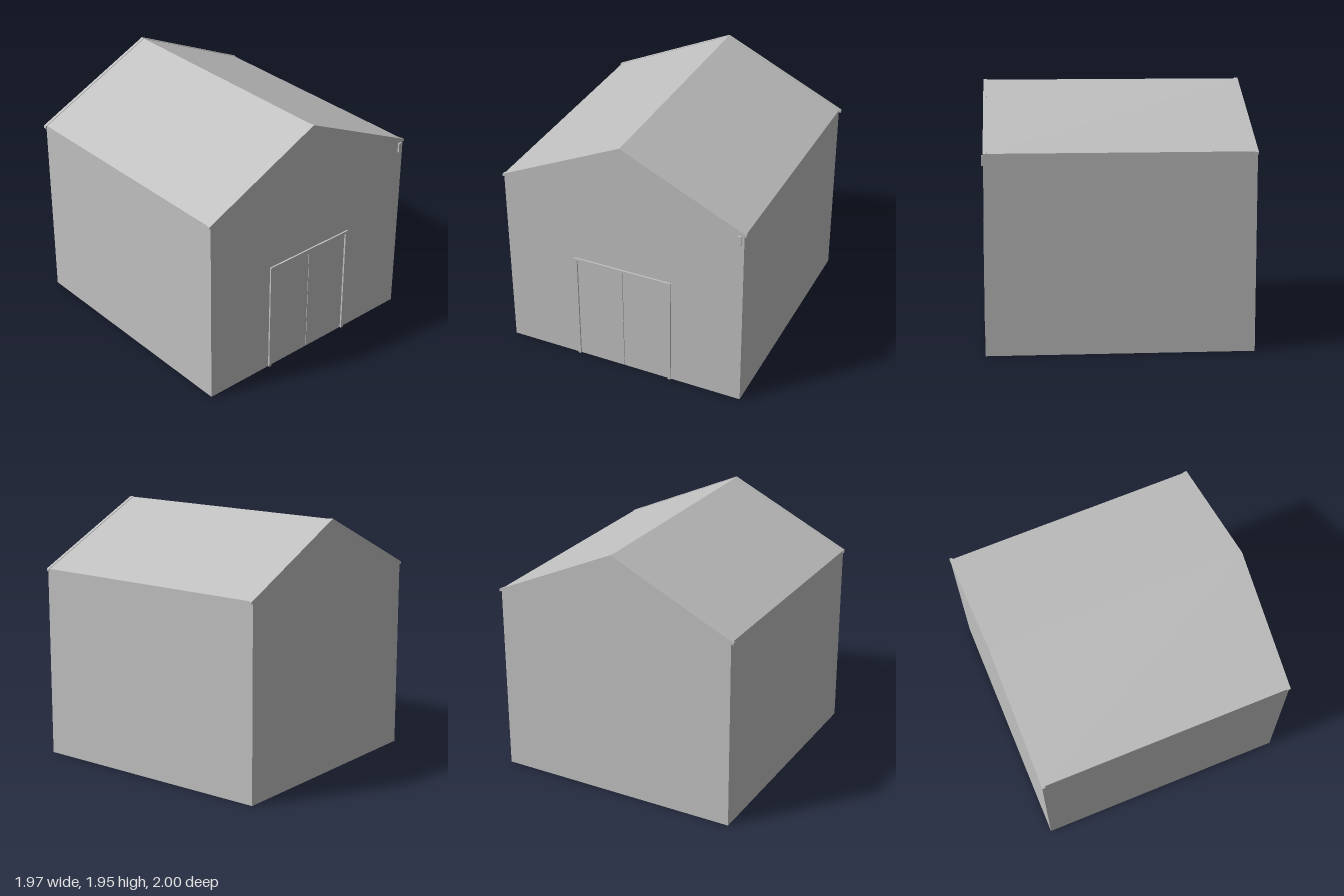
import * as THREE from 'three';

const HALF = 0.965;        // half width of the walls
const FRONT = 0.987, BACK = -0.997;
const RIDGE = 1.945, SLOPE = 0.469;
const WALL = 0.02;
const roofY = x => RIDGE - SLOPE * Math.abs(x);

export function createModel() {
  const model = new THREE.Group();
  model.name = 'barn';
  const grey = new THREE.MeshStandardMaterial({ color: 0xc0c0c0 });
  grey.name = 'plain grey';

  const add = (name, geometry) => {
    const mesh = new THREE.Mesh(geometry, grey);
    mesh.name = name;
    model.add(mesh);
    return mesh;
  };
  // box given by its limits on each axis
  const block = (name, x0, x1, y0, y1, z0, z1) => {
    const mesh = add(name, new THREE.BoxGeometry(x1 - x0, y1 - y0, z1 - z0));
    mesh.position.set((x0 + x1) / 2, (y0 + y1) / 2, (z0 + z1) / 2);
    return mesh;
  };
  // flat outline extruded from z0 to z1
  const extrude = (name, points, z0, z1) => {
    const shape = new THREE.Shape(points.map(([x, y]) => new THREE.Vector2(x, y)));
    const geometry = new THREE.ExtrudeGeometry(shape, { depth: z1 - z0, bevelEnabled: false });
    geometry.translate(0, 0, z0);
    return add(name, geometry);
  };
  // bent band following both roof slopes
  const roofBand = (name, half, lift, thick, z0, z1) => extrude(name, [
    [-half, roofY(half) + lift - thick], [0, RIDGE + lift - thick], [half, roofY(half) + lift - thick],
    [half, roofY(half) + lift], [0, RIDGE + lift], [-half, roofY(half) + lift],
  ], z0, z1);

  // gable walls, the front one with a doorway
  const eave = roofY(HALF) - 0.005;
  const top = [[HALF, eave], [0, RIDGE - 0.005], [-HALF, eave]];
  extrude('backWall', [[-HALF, 0], [HALF, 0], ...top], BACK, BACK + WALL);
  extrude('frontWall', [
    [-HALF, 0], [-0.38, 0], [-0.38, 0.885], [0.38, 0.885], [0.38, 0], [HALF, 0], ...top,
  ], FRONT - WALL, FRONT);

  // roof and the thin trims along its ends
  roofBand('roof', 0.972, 0, 0.02, BACK, FRONT);
  roofBand('backRakeTrim', 0.985, 0.004, 0.02, -1, -0.975);
  roofBand('frontRakeTrim', 0.978, 0.004, 0.02, 0.962, 0.989);

  for (const s of [-1, 1]) {
    const side = s > 0 ? 'left' : 'right';
    const span = (name, a, b, ...rest) => block(name, Math.min(s * a, s * b), Math.max(s * a, s * b), ...rest);
    const inner = HALF - WALL;
    span(side + 'Wall', inner, HALF, 0, eave - 0.005, BACK + WALL, FRONT - WALL);

    // inside frame: posts and top plate
    for (const z of [-0.33, 0.33]) span(side + 'Post', inner - 0.07, inner, 0, 1.44, z - 0.025, z + 0.025);
    span(side + 'BackCornerPost', inner - 0.07, inner, 0, 1.44, BACK + WALL, BACK + WALL + 0.04);
    span(side + 'FrontCornerPost', inner - 0.07, inner, 0, 1.44, FRONT - WALL - 0.04, FRONT - WALL);
    span(side + 'TopPlate', inner - 0.07, inner, 1.4, 1.46, BACK + WALL, FRONT - WALL);

    // door leaf and jamb
    span(side + 'DoorLeaf', 0.002, 0.378, 0, 0.883, 0.969, 0.986);
    span(side + 'DoorJamb', 0.375, 0.397, 0, 0.905, 0.955, 1);
  }
  block('doorHeader', -0.375, 0.375, 0.882, 0.905, 0.955, 1);

  // small lamp box near the eave
  block('wallLamp', 0.915, 0.943, 1.397, 1.475, FRONT, 1);

  return model;
}
